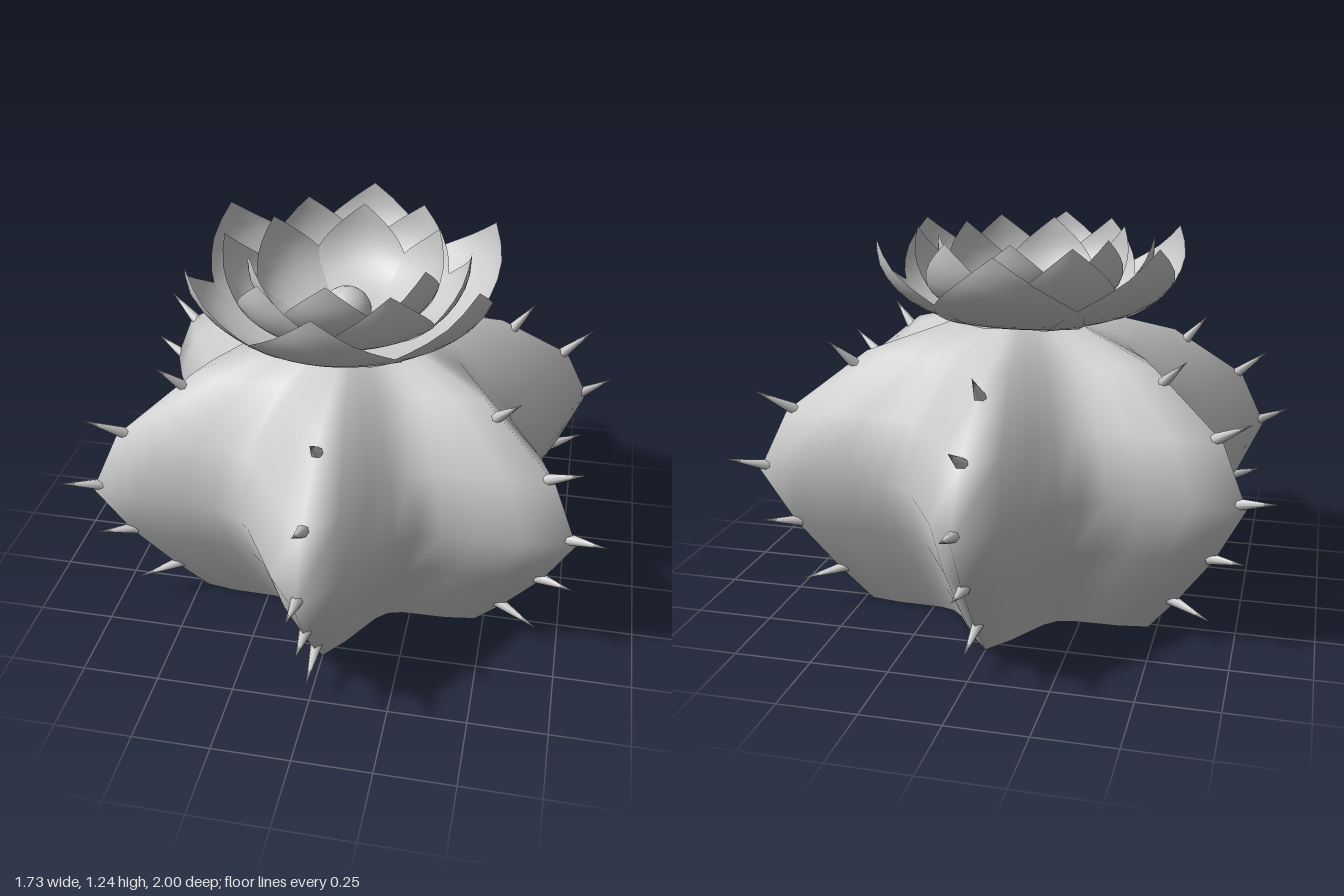
import * as THREE from 'three';
import { mergeVertices } from 'three/addons/utils/BufferGeometryUtils.js';

const RIBS = 6;
const material = new THREE.MeshStandardMaterial({ color: 0xcccccc });
const petalMaterial = new THREE.MeshStandardMaterial({ color: 0xcccccc, side: THREE.DoubleSide });

// Smooth surface from a rule f(i, j) -> [x, y, z]
function gridSurface(rows, cols, f) {
  const positions = [], index = [];
  for (let i = 0; i <= rows; i++) {
    for (let j = 0; j <= cols; j++) {
      positions.push(...f(i, j));
      if (i < rows && j < cols) {
        const a = i * (cols + 1) + j, d = a + cols + 1;
        index.push(a, a + 1, d + 1, a, d + 1, d);
      }
    }
  }
  const geometry = new THREE.BufferGeometry();
  geometry.setAttribute('position', new THREE.Float32BufferAttribute(positions, 3));
  geometry.setIndex(index);
  const merged = mergeVertices(geometry, 1e-5);
  merged.computeVertexNormals();
  return merged;
}

function addMesh(parent, name, geometry, mat = material) {
  const mesh = new THREE.Mesh(geometry, mat);
  mesh.name = name;
  parent.add(mesh);
  return mesh;
}

// Star-shaped cross-section: sharp ridges, shallow valleys
const starRadius = (r, phi) => r * (1 - 0.356 * Math.abs(Math.sin((RIBS / 2) * phi)));

// Ridge outline: [radius, height]
const ridge = [[0.545, 0], [0.655, 0.13], [0.79, 0.31], [0.895, 0.5],
  [0.8, 0.69], [0.535, 0.87], [0.26, 0.948], [0, 0.96]];

function addBody(parent) {
  const cols = RIBS * 8;
  addMesh(parent, 'ribbedBody', gridSurface(ridge.length - 1, cols, (i, j) => {
    const phi = (j / cols) * Math.PI * 2;
    const r = starRadius(ridge[i][0], phi);
    return [r * Math.sin(phi), ridge[i][1], r * Math.cos(phi)];
  }));

  // Flat underside
  const outline = [];
  for (let j = 0; j < cols; j++) {
    const phi = (j / cols) * Math.PI * 2;
    const r = starRadius(ridge[0][0], phi);
    outline.push(new THREE.Vector2(r * Math.sin(phi), r * Math.cos(phi)));
  }
  const base = new THREE.ShapeGeometry(new THREE.Shape(outline));
  addMesh(parent, 'underside', base.rotateX(Math.PI / 2), petalMaterial);
}

// Cone spines along every ridge: [base radius, base height, tip radius, tip height]
const spines = [[0.625, 0.13, 0.785, 0.1], [0.77, 0.31, 0.9, 0.325],
  [0.86, 0.51, 1.0, 0.545], [0.77, 0.69, 0.9, 0.765], [0.57, 0.825, 0.66, 0.91]];

function addSpines(parent) {
  for (let k = 0; k < RIBS; k++) {
    const row = new THREE.Group();
    row.name = 'spineRow';
    row.rotation.y = (k / RIBS) * Math.PI * 2;
    for (const [r0, y0, r1, y1] of spines) {
      const base = new THREE.Vector3(0, y0, r0);
      const axis = new THREE.Vector3(0, y1, r1).sub(base);
      const length = axis.length();
      const cone = new THREE.ConeGeometry(0.02, length, 8).translate(0, length / 2, 0);
      const spine = addMesh(row, 'spine', cone);
      spine.position.copy(base);
      spine.quaternion.setFromUnitVectors(new THREE.Vector3(0, 1, 0), axis.normalize());
    }
    parent.add(row);
  }
}

// Cupped petal pointing to +z, following a [radius, height] profile
function petalGeometry(profile, halfWidth) {
  const curve = new THREE.CatmullRomCurve3(profile.map(([r, y]) => new THREE.Vector3(0, y, r)));
  const rows = 14, cols = 10, widest = 0.6;
  return gridSurface(rows, cols, (i, j) => {
    const u = i / rows, v = (j / cols) * 2 - 1;
    const p = curve.getPointAt(u);
    const w = u < widest
      ? Math.sin((Math.PI / 2) * (0.12 + 0.88 * u / widest))
      : 1 - Math.pow((u - widest) / (1 - widest), 1.5);
    const cup = halfWidth * w * w * v * v;
    return [halfWidth * w * v, p.y + 0.12 * cup * u, p.z - 0.35 * cup * u];
  });
}

// Petal rings, outermost first
const rings = [
  { name: 'outerPetal', halfWidth: 0.235, turn: 0,
    profile: [[0.03, 0.945], [0.25, 0.96], [0.42, 1.03], [0.5, 1.13], [0.515, 1.23]] },
  { name: 'middlePetal', halfWidth: 0.185, turn: 0.5,
    profile: [[0.03, 0.955], [0.2, 0.975], [0.33, 1.04], [0.385, 1.13], [0.395, 1.235]] },
  { name: 'innerPetal', halfWidth: 0.155, turn: 0,
    profile: [[0.03, 0.965], [0.16, 0.985], [0.26, 1.05], [0.305, 1.13], [0.315, 1.235]] },
];

function addFlower(parent) {
  const flower = new THREE.Group();
  flower.name = 'flower';
  flower.position.x = -0.025;
  for (const { name, halfWidth, turn, profile } of rings) {
    const geometry = petalGeometry(profile, halfWidth);
    for (let k = 0; k < 6; k++) {
      addMesh(flower, name, geometry, petalMaterial).rotation.y = ((k + turn) / 6) * Math.PI * 2;
    }
  }
  addMesh(flower, 'flowerCentre', new THREE.SphereGeometry(0.082, 20, 14)).position.y = 0.995;
  parent.add(flower);
}

export function createModel() {
  const cactus = new THREE.Group();
  cactus.name = 'floweringCactus';
  addBody(cactus);
  addSpines(cactus);
  addFlower(cactus);
  return cactus;
}
